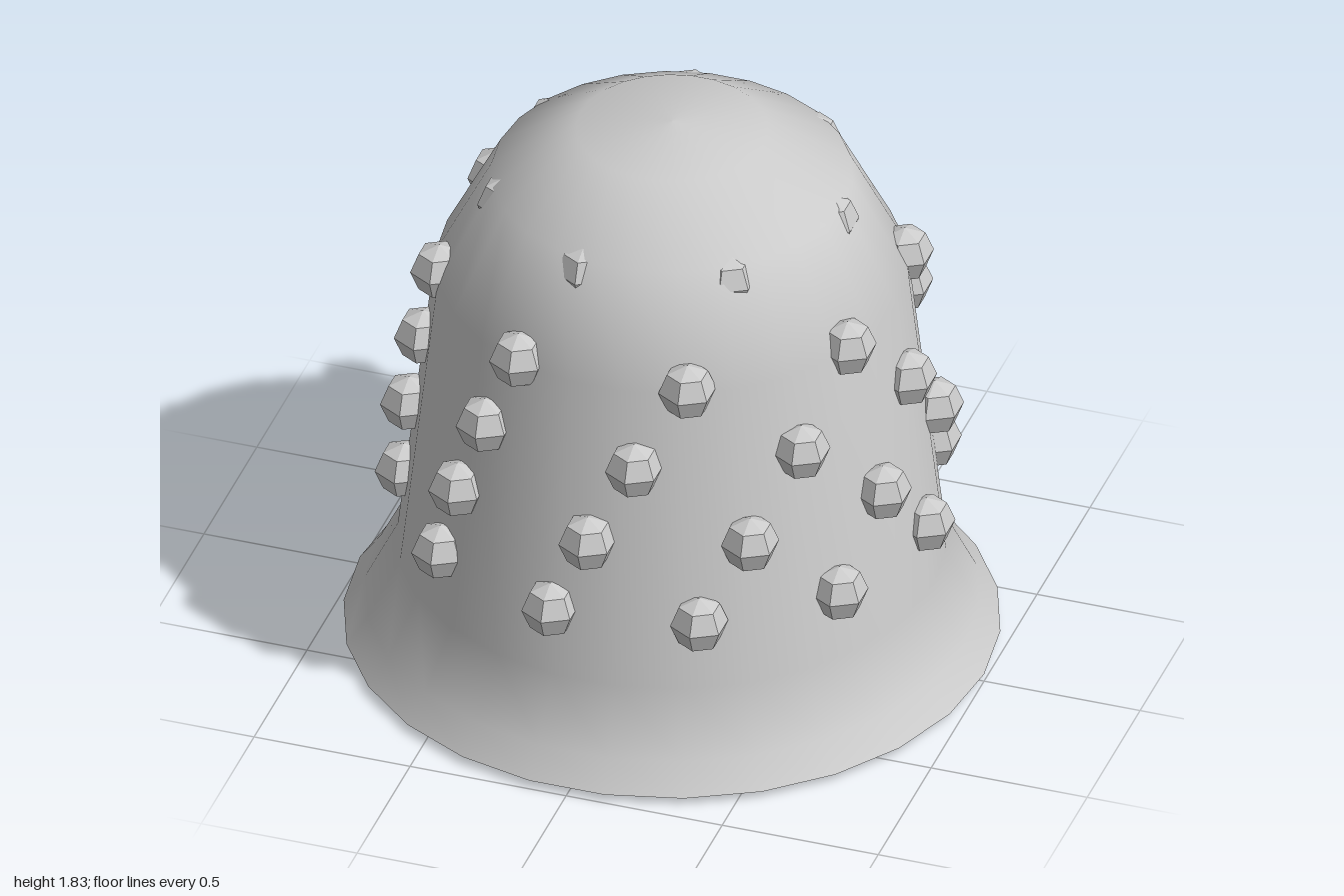
import * as THREE from 'three';

const SIDES = 26;
const material = new THREE.MeshStandardMaterial({ color: 0xcccccc });
const facetMaterial = new THREE.MeshStandardMaterial({ color: 0xcccccc, flatShading: true });

// Turned surface with a corner on the x axis; profile runs [radius, height]
function turned(name, profile) {
  const points = profile.map(([r, y]) => new THREE.Vector2(r, y));
  const geometry = new THREE.LatheGeometry(points, SIDES).rotateY(Math.PI / 2);
  const mesh = new THREE.Mesh(geometry, material);
  mesh.name = name;
  return mesh;
}

export function createModel() {
  const model = new THREE.Group();
  model.name = 'studdedDome';

  // Flared skirt, tapering wall and rounded crown
  model.add(turned('domeShell', [
    [1, 0.025], [0.935, 0.115], [0.835, 0.315], [0.72, 1.315],
    [0.55, 1.645], [0.292, 1.805], [0, 1.83],
  ]));

  // Underside: bevelled rim, sloping recess wall and flat floor
  model.add(turned('bottomRim', [[0.92, 0], [1, 0.025]]));
  model.add(turned('recessWall', [[0.82, 0.1], [0.92, 0]]));
  model.add(turned('recessFloor', [[0, 0.1], [0.82, 0.1]]));

  // Faceted studs in staggered rings; the top ring barely breaks the surface
  const studGeometry = new THREE.SphereGeometry(0.09, 6, 4).rotateY(Math.PI / 2);
  const rows = [
    { count: 11, y: 0.54, radius: 0.815 },
    { count: 10, y: 0.8, radius: 0.798 },
    { count: 9, y: 1.06, radius: 0.756 },
    { count: 8, y: 1.32, radius: 0.708 },
    { count: 7, y: 1.577, radius: 0.507 },
  ];
  rows.forEach(({ count, y, radius }, row) => {
    const ring = new THREE.Group();
    ring.name = `studRing${row + 1}`;
    for (let i = 0; i < count; i++) {
      const angle = ((i + (row % 2) / 2) / count) * Math.PI * 2;
      const stud = new THREE.Mesh(studGeometry, facetMaterial);
      stud.name = 'stud';
      stud.position.set(radius * Math.cos(angle), y, radius * Math.sin(angle));
      ring.add(stud);
    }
    model.add(ring);
  });

  return model;
}
